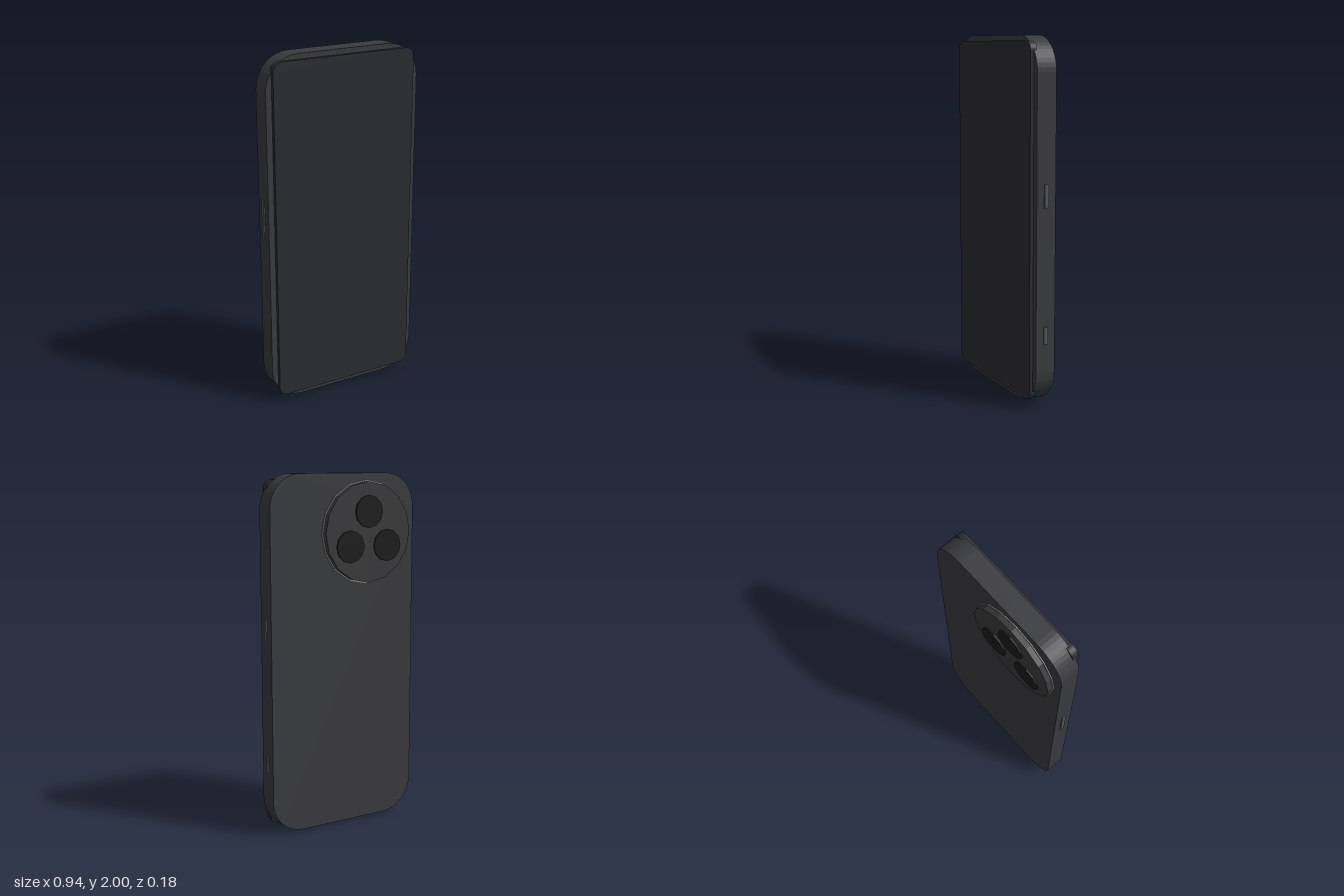
import * as THREE from 'three';

const material = (color) => new THREE.MeshStandardMaterial({ color, flatShading: true });

export function createModel() {
  const model = new THREE.Group();
  const frameMat = material(0x3a3b3e);
  const glassMat = material(0x2b2c30);
  const buttonMat = material(0x55565a);
  const ringMat = material(0x8a8a8c);
  const islandMat = material(0x3a3a3c);
  const lensMat = material(0x1b1b1b);

  const add = (name, geometry, mat, x, y, z) => {
    const mesh = new THREE.Mesh(geometry, mat);
    mesh.name = name;
    mesh.position.set(x, y, z);
    model.add(mesh);
    return mesh;
  };

  // Rounded rectangle centred on its own origin, extruded from z = 0 to depth
  const slab = (w, h, r, depth) => {
    const x = w / 2, y = h / 2;
    const s = new THREE.Shape();
    s.moveTo(-x + r, -y);
    s.absarc(x - r, -y + r, r, -Math.PI / 2, 0);
    s.absarc(x - r, y - r, r, 0, Math.PI / 2);
    s.absarc(-x + r, y - r, r, Math.PI / 2, Math.PI);
    s.absarc(-x + r, -y + r, r, Math.PI, Math.PI * 1.5);
    return new THREE.ExtrudeGeometry(s, { depth, bevelEnabled: false, curveSegments: 6 });
  };

  // Disc whose axis runs along z, between two depths
  const disc = (name, r, sides, x, y, zBack, zFront, mat) =>
    add(name, new THREE.CylinderGeometry(r, r, zFront - zBack, sides).rotateX(Math.PI / 2),
      mat, x, y, (zBack + zFront) / 2);

  // Body and the screen that stands proud of it
  add('body', slab(0.93, 1.985, 0.19, 0.114), frameMat, 0, 1.0075, -0.047);
  add('screen', slab(0.86, 1.925, 0.05, 0.038), glassMat, 0, 1.0075, 0.05);

  // Camera island with a thin trim ring and three lenses
  const cx = -0.138, cy = 1.675;
  disc('cameraTrimRing', 0.286, 16, cx, cy, -0.053, -0.04, ringMat);
  disc('cameraIsland', 0.279, 16, cx, cy, -0.083, -0.04, islandMat);
  for (const [dx, y] of [[0, 1.79], [-0.122, 1.60], [0.122, 1.60]]) {
    disc('cameraLens', 0.09, 12, cx + dx, y, -0.091, -0.07, lensMat);
  }

  // Side buttons: side, bottom, top
  for (const [side, y0, y1] of [[-1, 1.0, 1.22], [1, 1.105, 1.23], [1, 0.365, 0.46]]) {
    add('sideButton', new THREE.BoxGeometry(0.02, y1 - y0, 0.025), buttonMat,
      side * 0.462, (y0 + y1) / 2, 0.01);
  }

  // Charging port
  add('chargingPort', new THREE.BoxGeometry(0.092, 0.03, 0.03), lensMat, 0, 0.015, 0.012);

  return model;
}
